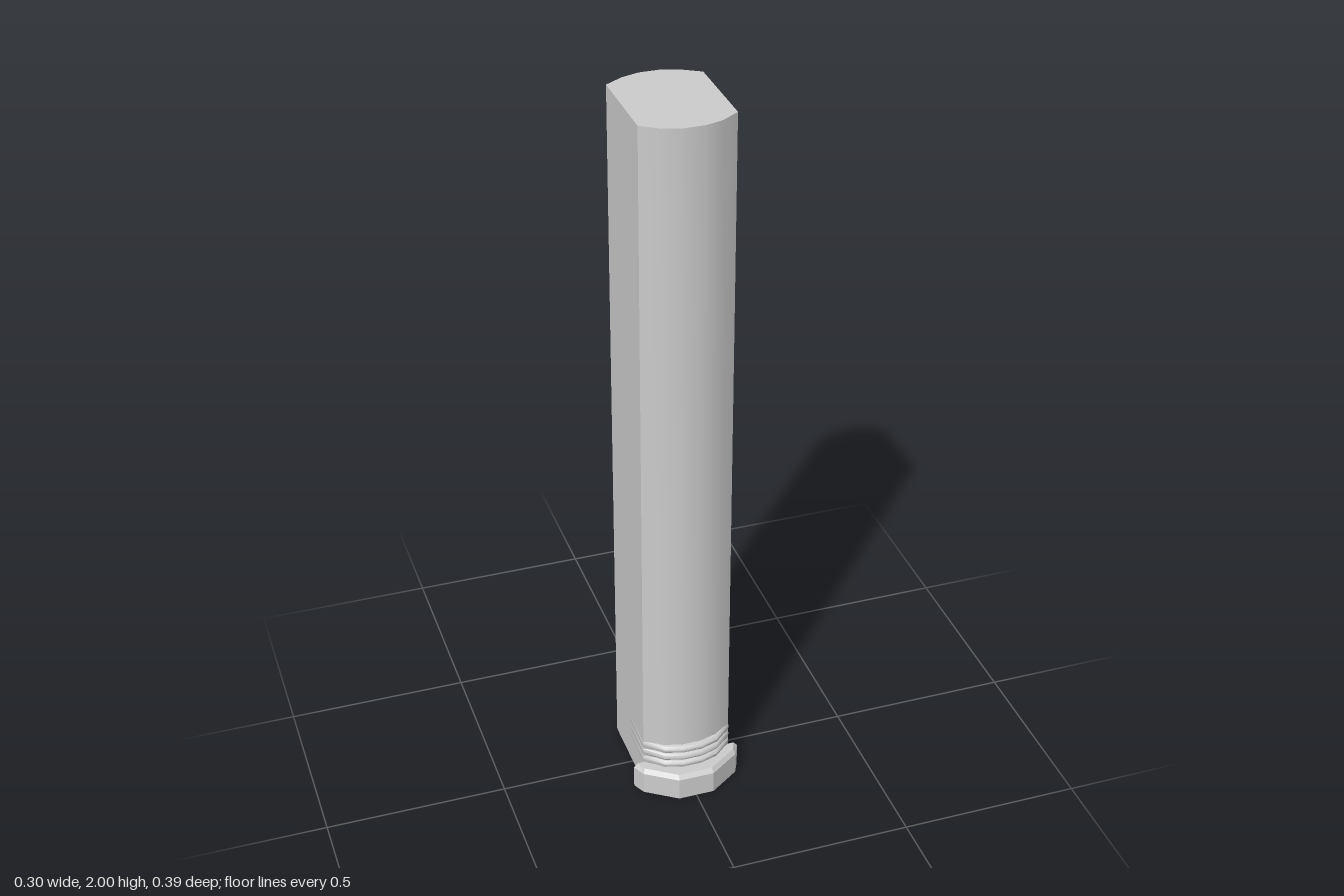
import * as THREE from 'three';
import { toCreasedNormals } from 'three/addons/utils/BufferGeometryUtils.js';

const material = new THREE.MeshStandardMaterial({ color: 0xcccccc });

// Mirror a half outline of [x, z] points (back to front on +x) across x = 0
const mirror = half => [...half, ...half.map(([x, z]) => [-x, z]).reverse()];

// Skin a stack of convex outlines, [{ y, half }], and close both ends
function loft(name, levels, crease) {
  const rings = levels.map(l => mirror(l.half).map(([x, z]) => [x, l.y, z]));
  const n = rings[0].length, last = (rings.length - 1) * n;
  const index = [];
  for (let l = 0; l < rings.length - 1; l++) {
    for (let i = 0; i < n; i++) {
      const a = l * n + i, b = l * n + (i + 1) % n;
      index.push(a, a + n, b + n, a, b + n, b);
    }
  }
  for (let k = 1; k < n - 1; k++) {
    index.push(0, k, k + 1, last, last + k + 1, last + k);
  }
  const geometry = new THREE.BufferGeometry();
  geometry.setAttribute('position', new THREE.Float32BufferAttribute(rings.flat(2), 3));
  geometry.setIndex(index);
  const mesh = new THREE.Mesh(toCreasedNormals(geometry, crease), material);
  mesh.name = name;
  return mesh;
}

export function createModel() {
  const group = new THREE.Group();
  group.name = 'engagedColumn';

  // Shaft: flat sides with shallow curved front and back
  const shaft = [[0.027, -0.195], [0.075, -0.18], [0.124, -0.15], [0.124, 0.1], [0.075, 0.133], [0.027, 0.147]];
  group.add(loft('shaft', [{ y: 0, half: shaft }, { y: 2, half: shaft }], 0.6));

  // Plinth: half octagon at the front with a chamfered top edge
  const plinth = [[0.152, 0.1], [0.135, 0.135], [0.05, 0.193]];
  const plinthTop = [[0.141, 0.1], [0.13, 0.127], [0.048, 0.183]];
  group.add(loft('plinth', [
    { y: 0, half: plinth }, { y: 0.065, half: plinth }, { y: 0.077, half: plinthTop },
  ], 0.1));

  // Three rounded base mouldings that fade out along the sides
  const inner = [[0.122, -0.02], [0.122, 0.098], [0.073, 0.131], [0.026, 0.145]];
  const outer = [[0.1243, -0.02], [0.1255, 0.1], [0.076, 0.147], [0.027, 0.162]];
  const steps = 8, height = 0.025;
  for (let r = 0; r < 3; r++) {
    const levels = [];
    for (let s = 0; s <= steps; s++) {
      const t = Math.PI * s / steps, bulge = Math.sin(t);
      levels.push({
        y: 0.077 + height * (r + 0.5 - 0.5 * Math.cos(t)),
        half: inner.map((p, i) => p.map((v, k) => v + (outer[i][k] - v) * bulge)),
      });
    }
    group.add(loft('baseMoulding' + (r + 1), levels, 0.7));
  }
  return group;
}
